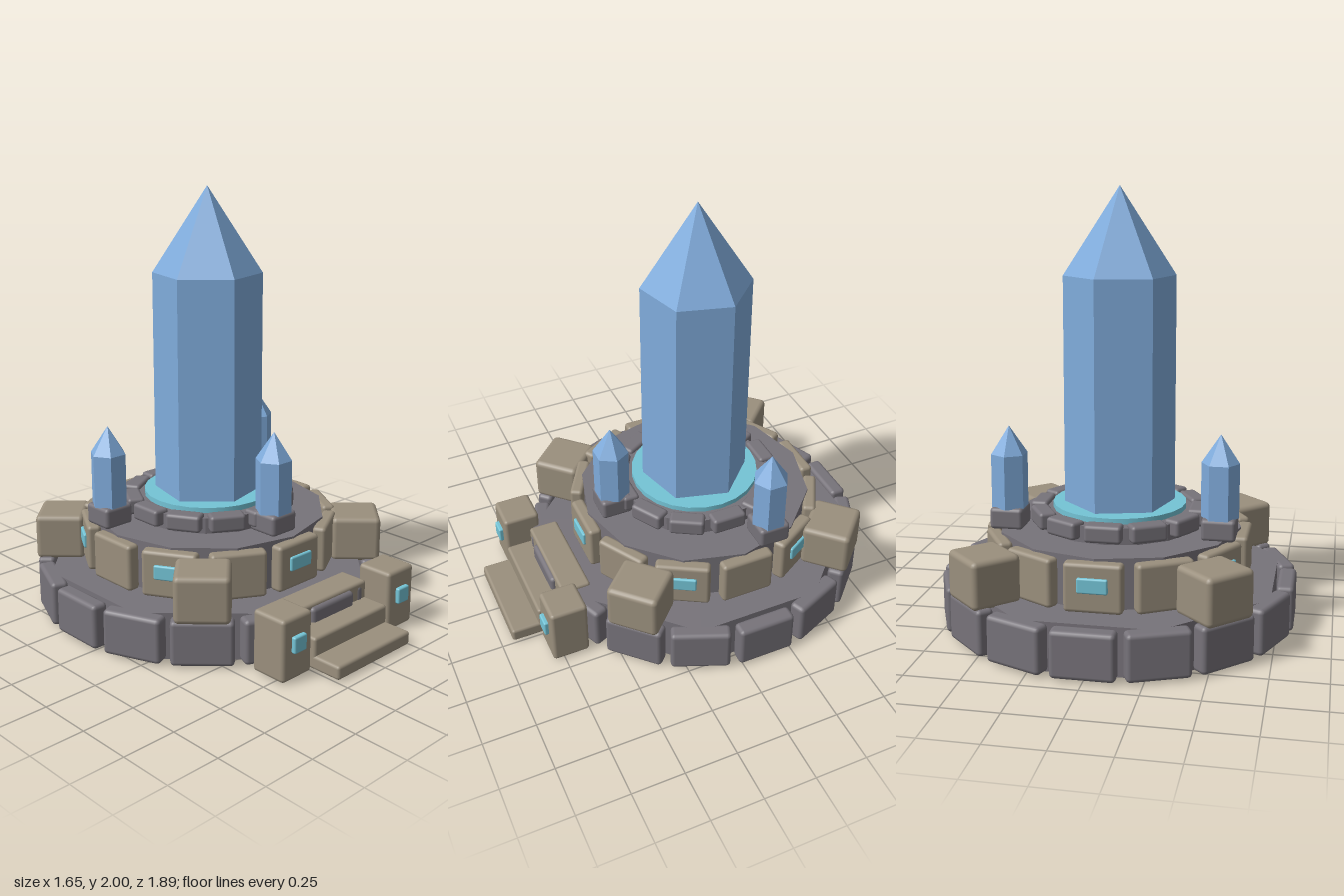
import * as THREE from 'three';
import { RoundedBoxGeometry } from 'three/addons/geometries/RoundedBoxGeometry.js';

const mat = (name, color) => {
  const m = new THREE.MeshStandardMaterial({ color });
  m.name = name;
  return m;
};

export function createModel() {
  const root = new THREE.Group();
  root.name = 'crystalShrine';
  const greyStone = mat('greyStone', 0x77737a);
  const tanStone = mat('tanStone', 0x9a8f7d);
  const crystalBlue = mat('crystalBlue', 0x80acdc);
  const glowCyan = mat('glowCyan', 0x74c4d6);

  // Everything round is arranged about this centre
  const tower = new THREE.Group();
  tower.name = 'tower';
  tower.position.z = -0.12;
  root.add(tower);

  const add = (parent, name, geo, material, x = 0, y = 0, z = 0, turn = 0) => {
    const mesh = new THREE.Mesh(geo, material);
    mesh.name = name;
    mesh.position.set(x, y, z);
    mesh.rotation.y = turn;
    parent.add(mesh);
    return mesh;
  };

  // Flat-sided prism or cone
  const prism = (rTop, rBottom, h, sides, start = 0) => {
    const g = new THREE.CylinderGeometry(rTop, rBottom, h, sides, 1, false, start).toNonIndexed();
    g.computeVertexNormals();
    return g;
  };
  const block = (w, h, d, r) => new RoundedBoxGeometry(w, h, d, 2, r);

  // Evenly spaced pieces facing outward
  const ring = (name, geo, material, count, radius, y, offset = 0) => {
    const group = new THREE.Group();
    group.name = name;
    for (let i = 0; i < count; i++) {
      const a = offset + (i / count) * Math.PI * 2;
      add(group, name + 'Piece', geo, material, Math.sin(a) * radius, y, Math.cos(a) * radius, a);
    }
    tower.add(group);
  };

  // Hexagonal shaft with a pointed tip
  const crystal = (name, x, z, r, y0, y1, tip, start) => {
    const group = new THREE.Group();
    group.name = name;
    group.position.set(x, 0, z);
    add(group, 'shaft', prism(r, r, y1 - y0, 6, start), crystalBlue, 0, (y0 + y1) / 2, 0);
    add(group, 'tip', prism(0, r, tip - y1, 6, start), crystalBlue, 0, (y1 + tip) / 2, 0);
    root.add(group);
  };

  // Lower tier: octagonal core and wall of grey blocks
  add(tower, 'lowerCore', prism(0.79, 0.79, 0.22, 8, Math.PI / 8), greyStone, 0, 0.11, 0);
  ring('lowerBlocks', block(0.28, 0.21, 0.08, 0.02), greyStone, 16, 0.785, 0.115);

  // Middle tier: core, tan blocks, corner buttresses and glowing plates
  add(tower, 'middleCore', prism(0.57, 0.57, 0.24, 12), greyStone, 0, 0.33, 0);
  ring('middleBlocks', block(0.26, 0.22, 0.065, 0.018), tanStone, 12, 0.58, 0.33);
  ring('buttresses', block(0.25, 0.22, 0.235, 0.025), tanStone, 4, 0.717, 0.32, Math.PI / 4);
  ring('glowPlates', block(0.135, 0.068, 0.03, 0.008), glowCyan, 6, 0.61, 0.345);

  // Upper tier: ring of small blocks around a glowing disc
  add(tower, 'upperCore', prism(0.38, 0.38, 0.08, 16), greyStone, 0, 0.485, 0);
  ring('upperBlocks', block(0.168, 0.08, 0.082, 0.016), greyStone, 12, 0.37, 0.503);
  add(tower, 'glowDisc', new THREE.CylinderGeometry(0.312, 0.312, 0.06, 24), glowCyan, 0, 0.52, 0);

  // Great crystal
  crystal('mainCrystal', 0, -0.12, 0.258, 0.54, 1.6, 2, Math.PI / 4);

  // Small crystals on pedestals
  const small = [[-0.487, -0.28, Math.PI / 6], [0.487, -0.28, 0], [0, 0.32, Math.PI / 6]];
  small.forEach(([x, z, start]) => {
    add(root, 'pedestal', block(0.155, 0.1, 0.155, 0.018), greyStone, x, 0.495, z);
    crystal('smallCrystal', x, z, 0.086, 0.54, 0.79, 0.92, start);
  });

  // Stairs, listed as back z, front z, top
  const steps = [[0.78, 0.945, 0.07], [0.655, 0.81, 0.153], [0.54, 0.685, 0.235]];
  steps.forEach(([z0, z1, top]) => {
    add(root, 'step', block(0.49, top - 0.005, z1 - z0, 0.014), tanStone, 0, (top + 0.005) / 2, (z0 + z1) / 2);
  });

  // Gate posts flanking the stairs
  for (const s of [-1, 1]) {
    add(root, 'gatePost', block(0.18, 0.288, 0.18, 0.018), tanStone, s * 0.35, 0.151, 0.715);
    add(root, 'gatePostPlate', block(0.076, 0.076, 0.03, 0.008), glowCyan, s * 0.35, 0.173, 0.81);
  }
  return root;
}
